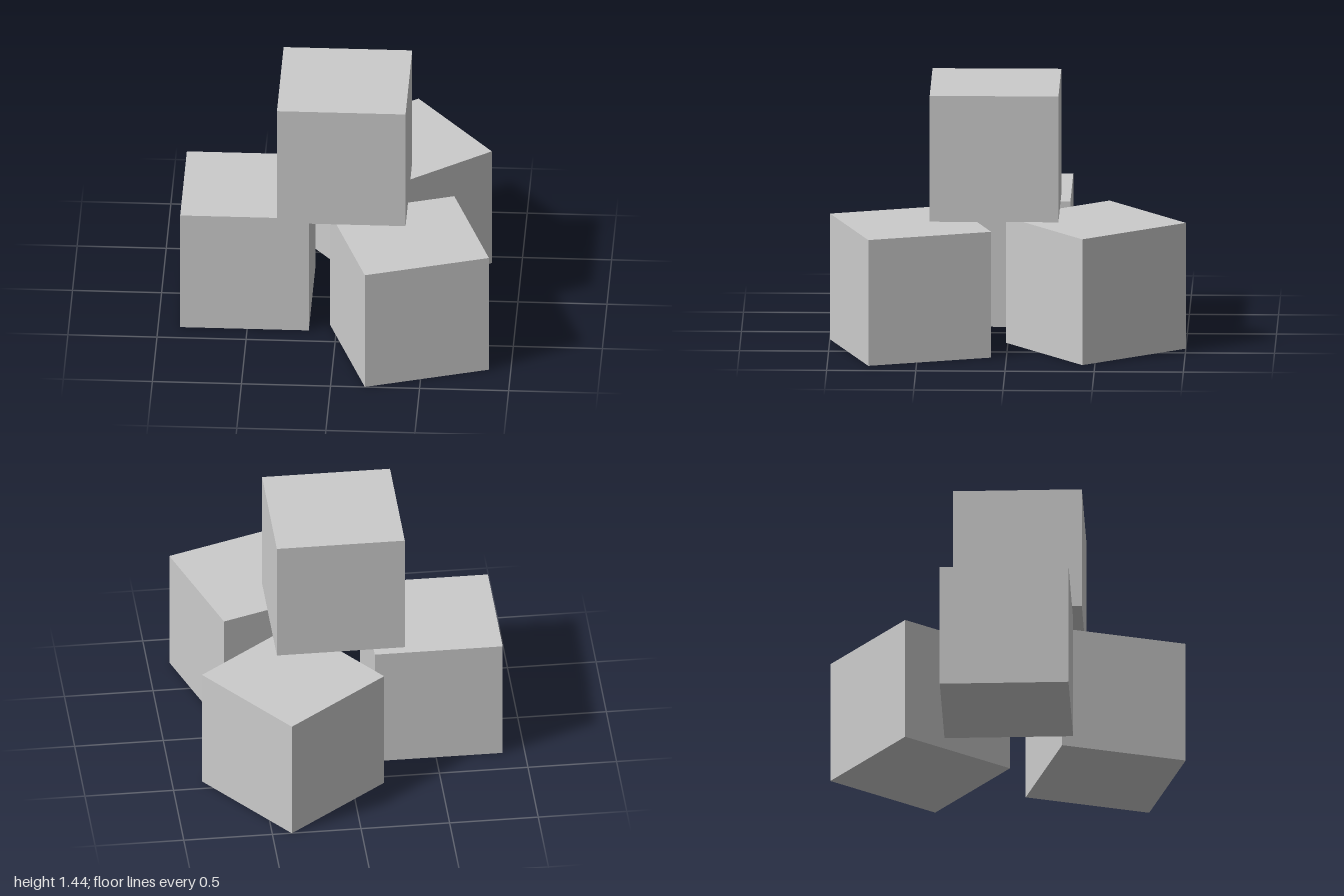
import * as THREE from 'three';

const SIZE = 0.722;

// name, centre x, centre z, level in the stack, turn about y (radians)
const CUBES = [
  ['leftCube', -0.515, 0.02, 0, 0],
  ['backCube', 0.325, -0.495, 0, 0.657],
  ['frontCube', 0.42, 0.542, 0, 0.324],
  ['topCube', 0.031, 0.075, 1, 0],
];

export function createModel() {
  const group = new THREE.Group();
  group.name = 'cubeStack';
  const geometry = new THREE.BoxGeometry(SIZE, SIZE, SIZE);
  const material = new THREE.MeshStandardMaterial({ color: 0xcccccc });

  // Three cubes on the ground carry a fourth
  for (const [name, x, z, level, turn] of CUBES) {
    const cube = new THREE.Mesh(geometry, material);
    cube.name = name;
    cube.position.set(x, SIZE * (level + 0.5), z);
    cube.rotation.y = turn;
    group.add(cube);
  }
  return group;
}
